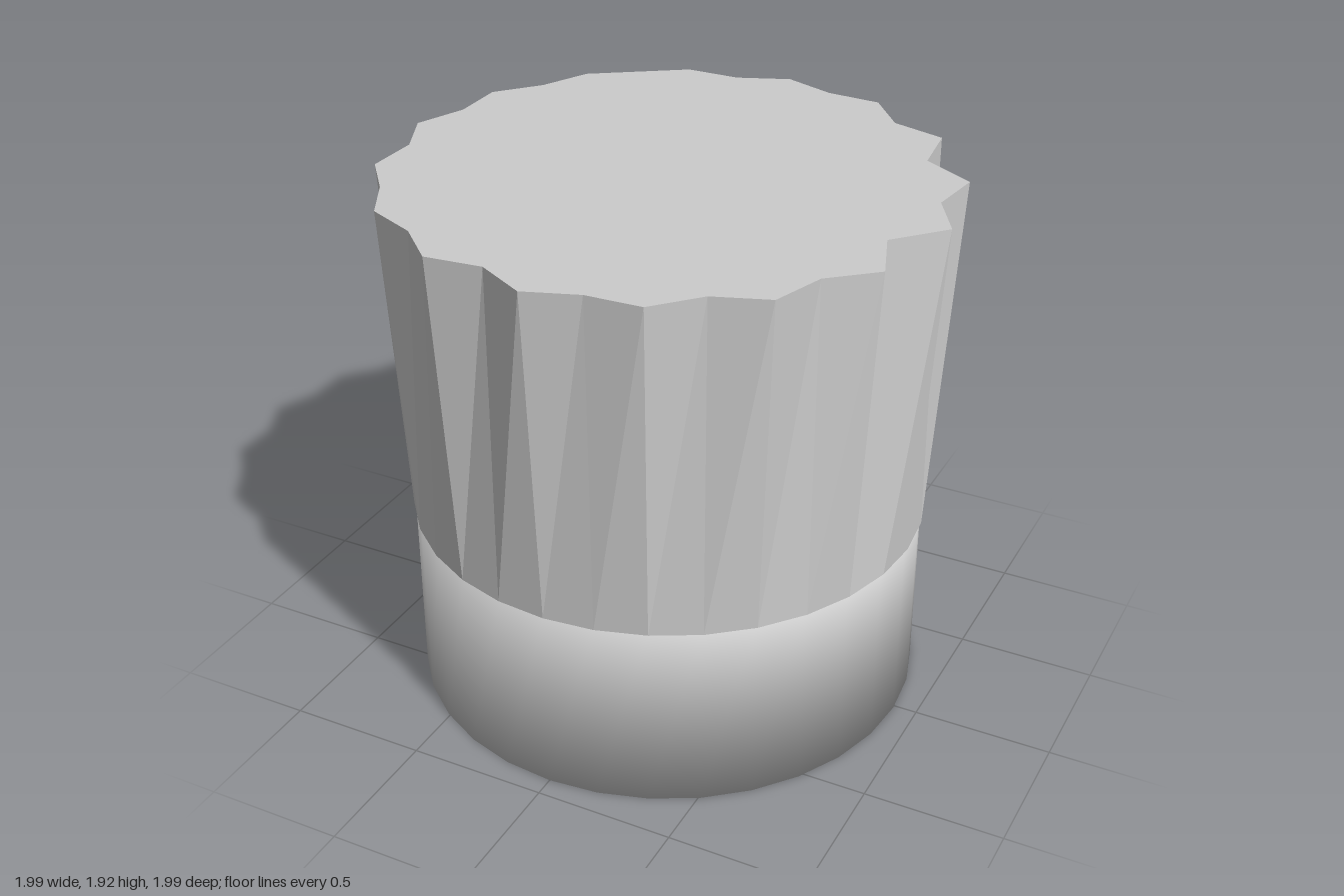
import * as THREE from 'three';
import { mergeVertices } from 'three/addons/utils/BufferGeometryUtils.js';

const SIDES = 32, BAND_TOP = 0.69, TOP = 1.92;

// Radii of the inward folds around the top rim, starting at the back, going towards +x
const FOLDS = [0.949, 0.916, 0.88, 0.912, 0.861, 0.924, 0.93, 0.949,
  0.918, 0.943, 0.96, 0.932, 0.941, 0.951, 0.978, 0.941];

// Flaring, pleated upper body: round at the base, uneven pleats at the rim
function pleatedGeometry() {
  const h = TOP - BAND_TOP;
  const geo = new THREE.CylinderGeometry(1, 0.925, h, SIDES, 1);
  geo.translate(0, BAND_TOP + h / 2, 0);
  const p = geo.attributes.position;
  for (let i = 0; i < p.count; i++) {
    const x = p.getX(i), z = p.getZ(i);
    if (p.getY(i) < TOP - 0.01 || Math.hypot(x, z) < 0.1) continue;
    const turn = Math.atan2(x, -z) / (2 * Math.PI);
    const k = (Math.round(turn * SIDES) + SIDES) % SIDES;
    const r = k % 2 ? FOLDS[(k - 1) / 2] : 0.997;
    p.setX(i, x * r);
    p.setZ(i, z * r);
  }
  const flat = geo.toNonIndexed();
  flat.computeVertexNormals();
  return flat;
}

// Headband: a plain drum whose shading runs smoothly from wall to base
function bandGeometry() {
  let geo = new THREE.CylinderGeometry(0.916, 0.916, BAND_TOP, SIDES, 1);
  geo.translate(0, BAND_TOP / 2, 0);
  geo.deleteAttribute('normal');
  geo.deleteAttribute('uv');
  geo = mergeVertices(geo, 1e-4);
  geo.computeVertexNormals();
  return geo;
}

export function createModel() {
  const group = new THREE.Group();
  group.name = 'pleatedHat';

  const crown = new THREE.Mesh(pleatedGeometry(),
    new THREE.MeshStandardMaterial({ color: 0xcccccc, flatShading: true }));
  crown.name = 'pleatedCrown';
  crown.position.z = 0.005;

  const band = new THREE.Mesh(bandGeometry(),
    new THREE.MeshStandardMaterial({ color: 0xcccccc }));
  band.name = 'headband';
  band.position.z = 0.01;

  group.add(crown, band);
  return group;
}
